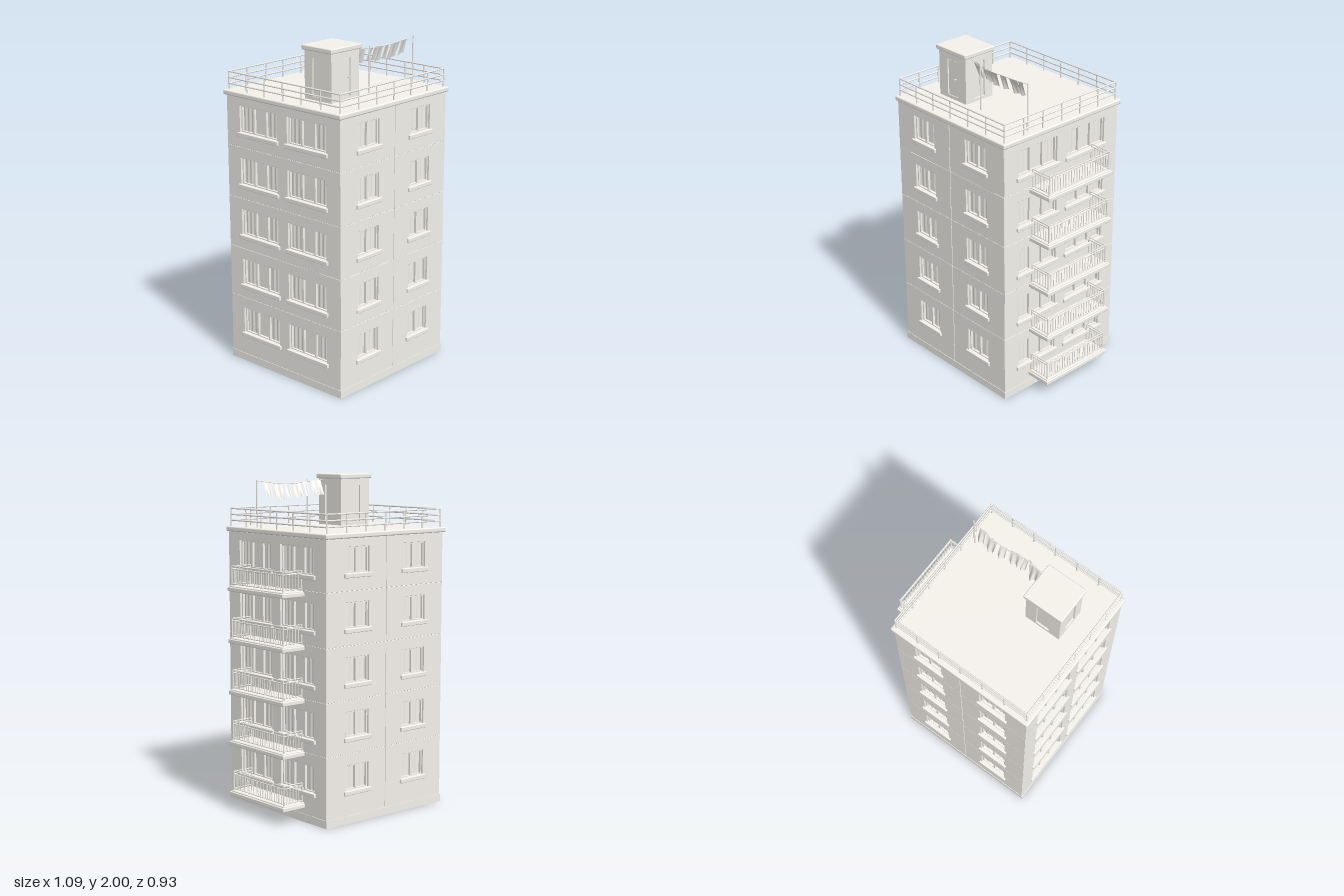
import * as THREE from 'three';
import { mergeGeometries } from 'three/addons/utils/BufferGeometryUtils.js';
import { RoundedBoxGeometry } from 'three/addons/geometries/RoundedBoxGeometry.js';

const plaster = new THREE.MeshStandardMaterial({ color: 0xf5f2ec });
const fabric = new THREE.MeshStandardMaterial({ color: 0xf5f2ec, side: THREE.DoubleSide });
const CX = -0.074, HX = 0.46, HZ = 0.452, T = 0.03;      // body centre, half sizes, wall thickness
const FLOORS = [0.045, 0.417, 0.73, 1.045, 1.36, 1.66];
const ROOF = 1.69;

let seed = 7;
const rnd = () => (seed = (seed * 16807) % 2147483647) / 2147483647;

// one named mesh from a list of geometries
function part(name, geos, mat = plaster) {
  const flat = geos.map(g => (g.index ? g.toNonIndexed() : g));
  const m = new THREE.Mesh(mergeGeometries(flat), mat);
  m.name = name;
  return m;
}

// box given by its min and max corners
function box(x0, x1, y0, y1, z0, z1, r = 0) {
  const s = [x1 - x0, y1 - y0, z1 - z0];
  const g = r ? new RoundedBoxGeometry(...s, 2, r) : new THREE.BoxGeometry(...s);
  return g.translate((x0 + x1) / 2, (y0 + y1) / 2, (z0 + z1) / 2);
}

// round rod between two points
function rod(a, b, r = 0.004) {
  const p = new THREE.Vector3(...a), d = new THREE.Vector3(...b).sub(p);
  const g = new THREE.CylinderGeometry(r, r, d.length(), 6).translate(0, d.length() / 2, 0);
  g.applyQuaternion(new THREE.Quaternion().setFromUnitVectors(new THREE.Vector3(0, 1, 0), d.normalize()));
  return g.translate(p.x, p.y, p.z);
}

// rectangular outline as Shape or Path
function rect(P, x0, x1, y0, y1) {
  return new P([[x0, y0], [x1, y0], [x1, y1], [x0, y1]].map(p => new THREE.Vector2(...p)));
}

// wall panel with window holes, outer surface at z = 0; fine joints, wider at the upright seam
function panel(x0, x1, y0, y1, holes) {
  const gx = 0.0015, gy = 0.0002, b = 0.001;
  const s = rect(THREE.Shape, x0 + gx, x1 - gx, y0 + gy, y1 - gy);
  s.holes = holes.map(h => rect(THREE.Path, ...h));
  return new THREE.ExtrudeGeometry(s, {
    depth: T - 2 * b, bevelThickness: b, bevelSize: b, bevelOffset: -b, bevelSegments: 1,
  }).translate(0, 0, -T + b);
}

// frame bars and mullions
function windowFrame([x0, x1, y0, y1], panes) {
  const f = 0.008, z0 = -0.028, z1 = -0.013;
  const out = [box(x0, x1, y0, y0 + f, z0, z1), box(x0, x1, y1 - f, y1, z0, z1)];
  for (let i = 0; i <= panes; i++) {
    const x = THREE.MathUtils.lerp(x0 + f / 2, x1 - f / 2, i / panes);
    const w = i % panes ? 0.006 : f / 2;
    out.push(box(x - w, x + w, y0, y1, z0, z1));
  }
  return out;
}

// pair of softly pleated curtains behind the panes
function curtains([x0, x1, y0, y1]) {
  return [-1, 1].map(side => {
    const w = (x1 - x0) * (0.2 + 0.18 * rnd()), n = 24;
    const g = new THREE.PlaneGeometry(w, y1 - y0, n, 1);
    const p = g.attributes.position;
    for (let i = 0; i < p.count; i++) p.setZ(i, 0.002 * Math.sin(p.getX(i) * 190));
    g.computeVertexNormals();
    return g.translate(side < 0 ? x0 + w / 2 : x1 - w / 2, (y0 + y1) / 2, -0.026);
  });
}

// one complete facade, facing +z before it is turned into place
function facade(name, half, wide) {
  const walls = [], frames = [], sills = [], drapes = [];
  const cw = wide ? 0.192 : 0.224, hw = wide ? 0.151 : 0.089;
  for (let k = 0; k < 5; k++) {
    const y0 = (wide ? 0.185 : 0.195) + 0.316 * k, y1 = 0.347 + 0.316 * k;
    const holes = [-1, 1].map(s => [s * cw - hw, s * cw + hw, y0, y1]);
    const [a, b] = [FLOORS[k], FLOORS[k + 1]];
    if (wide) walls.push(panel(-half, half, a, b, holes));
    else walls.push(panel(-half, 0, a, b, [holes[0]]), panel(0, half, a, b, [holes[1]]));
    for (const h of holes) {
      frames.push(...windowFrame(h, wide ? 3 : 2));
      drapes.push(...curtains(h));
      sills.push(box(h[0] - 0.015, h[1] + 0.015, y0 - 0.024, y0 + 0.002, -0.025, 0.013, 0.004));
    }
  }
  const g = new THREE.Group();
  g.name = name;
  g.add(part('wallPanels', walls), part('windowFrames', frames), part('windowSills', sills),
    part('curtains', drapes, fabric));
  return g;
}

// balcony slab with barred railing, on the +x side
function balcony(k) {
  const g = new THREE.Group(), y = 0.083 + 0.31 * k;
  g.name = 'balcony';
  const x0 = 0.39, x1 = 0.526, zr = 0.238, lo = y + 0.044, hi = y + 0.148;
  g.add(part('balconySlab', [box(0.37, 0.546, y, y + 0.026, -0.259, 0.257, 0.005),
    box(0.37, 0.538, y + 0.02, y + 0.033, -0.25, 0.248, 0.004)]));
  const rails = [];
  for (const h of [lo, hi - 0.016, hi]) {
    rails.push(rod([x1, h, -zr], [x1, h, zr], 0.0035));
    for (const s of [-1, 1]) rails.push(rod([x0, h, s * zr], [x1, h, s * zr], 0.0035));
  }
  for (const s of [-1, 1]) for (const x of [x0, x1])
    rails.push(rod([x, y + 0.03, s * zr], [x, hi, s * zr], 0.005));
  // some bars are bent, except on the top floor
  const bars = [], lean = () => (k < 4 && rnd() < 0.3 ? (rnd() - 0.5) * 0.024 : 0);
  for (let i = 1; i < 22; i++) {
    const z = -zr + (2 * zr * i) / 22;
    bars.push(rod([x1, lo, z], [x1 + lean() / 2, hi - 0.016, z + lean()], 0.0027));
  }
  for (const s of [-1, 1]) for (let i = 1; i < 6; i++) {
    const x = x0 + ((x1 - x0) * i) / 6;
    bars.push(rod([x, lo, s * zr], [x + lean(), hi - 0.016, s * zr], 0.0027));
  }
  g.add(part('balconyRails', rails), part('balconyBars', bars));
  return g;
}

// railing around the roof edge
function roofRailing() {
  const out = [], x = 0.449, z = 0.44, n = 6;
  for (const s of [-1, 1]) {
    for (const h of [1.727, 1.762, 1.798]) {
      out.push(rod([CX - x, h, s * z], [CX + x, h, s * z], 0.005));
      out.push(rod([CX + s * x, h, -z], [CX + s * x, h, z], 0.005));
    }
    for (let i = 0; i <= n; i++) {
      const t = (2 * i) / n - 1;
      out.push(rod([CX + t * x, ROOF - 0.01, s * z], [CX + t * x, 1.8, s * z], 0.0045));
      if (i % n) out.push(rod([CX + s * x, ROOF - 0.01, t * z], [CX + s * x, 1.8, t * z], 0.0045));
    }
  }
  return part('roofRailing', out);
}

// stair house on the roof, with a narrow recess on each side and a door in the front one
function stairHouse() {
  const g = new THREE.Group(), [x0, x1, z0, z1] = [-0.387, -0.157, 0.043, 0.248];
  g.name = 'stairHouse';
  const i = 0.01, wx = 0.072, wz = 0.06, posts = [];
  for (const [a, b] of [[x0, x0 + wx], [x1 - wx, x1]])
    for (const [c, d] of [[z0, z0 + wz], [z1 - wz, z1]]) posts.push(box(a, b, ROOF - 0.01, 1.98, c, d));
  g.add(part('stairHouseWalls', [box(x0 + i, x1 - i, ROOF - 0.01, 1.98, z0 + i, z1 - i), ...posts,
    box(x0, x1, 1.932, 1.98, z0, z1), box(x0, x1, ROOF - 0.01, 1.71, z0, z1)]));
  g.add(part('stairHouseCap', [box(-0.4, -0.145, 1.972, 2, 0.03, 0.262, 0.006)]));
  g.add(part('door', [box(-0.311, -0.233, 1.71, 1.928, z1 - 0.02, z1 - 0.005)]));
  g.add(part('doorHandle', [rod([-0.245, 1.82, z1 - 0.006], [-0.245, 1.82, z1 + 0.014], 0.004)]));
  return g;
}

// laundry line with poles and cloths blown backwards
function laundry() {
  const g = new THREE.Group();
  g.name = 'laundry';
  const curve = new THREE.CatmullRomCurve3([[-0.15, 1.962, 0.205], [-0.048, 1.952, 0.228], [0.14, 1.944, 0.212],
    [0.34, 1.965, 0.232]].map(p => new THREE.Vector3(...p)));
  g.add(part('washingLine', [new THREE.TubeGeometry(curve, 30, 0.0025, 5)]));
  g.add(part('linePoles', [rod([-0.048, 1.68, 0.232], [-0.048, 1.97, 0.232], 0.0045),
    rod([0.34, 1.68, 0.232], [0.34, 1.972, 0.232], 0.0045)]));
  const cloths = [[-0.135, -0.065, 0.09], [-0.04, -0.01, 0.08], [0, 0.08, 0.088], [0.102, 0.145, 0.085],
    [0.167, 0.238, 0.09], [0.248, 0.292, 0.088]].map(([a, b, len], k) => {
    const c = new THREE.PlaneGeometry(b - a, 1, 14, 6), p = c.attributes.position;
    for (let i = 0; i < p.count; i++) {
      const x = p.getX(i) + (a + b) / 2, t = 0.5 - p.getY(i);
      const q = curve.getPoint(THREE.MathUtils.clamp((x + 0.15) / 0.49, 0, 1));
      const fold = 0.009 * t * Math.sin(x * 160 + k);
      p.setXYZ(i, x + 0.003 * t * Math.sin(k * 2), q.y - len * t + 0.005 * t * Math.sin(x * 90), q.z - 0.033 * t + fold);
    }
    c.computeVertexNormals();
    return c;
  });
  g.add(part('hangingCloths', cloths, fabric));
  return g;
}

export function createModel() {
  const model = new THREE.Group();
  model.name = 'apartmentBlock';

  // inner core behind the panels, hollow below
  const i = T - 0.001;
  model.add(part('core', [box(CX - HX + i, CX + HX - i, 0.18, 1.67, -HZ + i, HZ - i)]));

  // facades: narrow windows front and back, wide ones on the sides
  [['frontFacade', HX, false, 0, CX, HZ], ['backFacade', HX, false, Math.PI, CX, -HZ],
    ['leftFacade', HZ, true, Math.PI / 2, CX + HX, 0], ['rightFacade', HZ, true, -Math.PI / 2, CX - HX, 0],
  ].forEach(([name, half, wide, turn, x, z]) => {
    const f = facade(name, half, wide);
    f.rotation.y = turn;
    f.position.set(x, 0, z);
    model.add(f);
  });

  // plinth ring
  const px = HX + 0.003, pz = HZ + 0.003, plinth = [];
  for (const s of [-1, 1]) {
    const z = s * (pz - T / 2), x = CX + s * (px - T / 2);
    plinth.push(box(CX - px, CX + px, 0, 0.047, z - T / 2, z + T / 2));
    plinth.push(box(x - T / 2, x + T / 2, 0, 0.047, -pz + T, pz - T));
  }
  model.add(part('plinth', plinth));

  model.add(part('roofSlab', [box(CX - 0.473, CX + 0.473, 1.66, ROOF, -0.467, 0.463, 0.008)]));
  for (let k = 0; k < 5; k++) model.add(balcony(k));
  model.add(roofRailing(), stairHouse(), laundry());
  return model;
}
